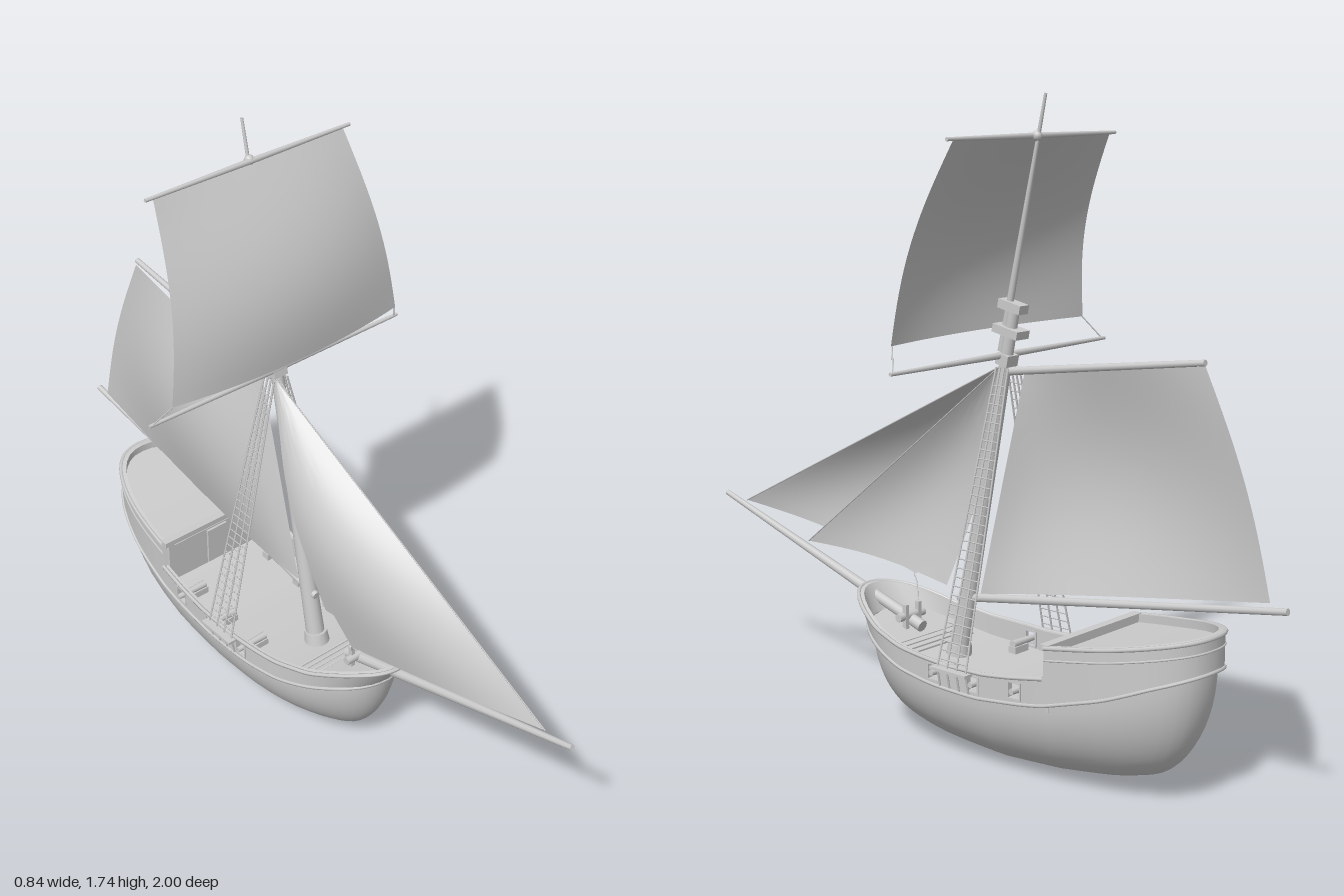
import * as THREE from 'three';
import { toCreasedNormals } from 'three/addons/utils/BufferGeometryUtils.js';

const mat = new THREE.MeshStandardMaterial({ color: 0xcccccc, side: THREE.DoubleSide });
const V = (x, y, z) => new THREE.Vector3(x, y, z);
const { sin, cos, PI, max, abs, sqrt } = Math;

// Linear lookup in a table of [z, value] with z falling from bow to stern
function table(rows) {
  return z => {
    for (let i = 1; i < rows.length; i++) {
      const [a, p] = rows[i - 1], [b, q] = rows[i];
      if (z >= b) return p + (q - p) * Math.min(1, max(0, (a - z) / (a - b)));
    }
    return rows[rows.length - 1][1];
  };
}
const STEP = -0.42, MID = -0.1, BOW = 0.39, STERN = -0.8;
const railY = table([[0.39, 0.365], [0.32, 0.347], [0.2, 0.305], [0.08, 0.284], [-0.1, 0.276], [-0.25, 0.281],
  [STEP, 0.31], [STEP - 0.002, 0.392], [-0.6, 0.418], [-0.8, 0.455]]);
const waleY = table([[0.39, 0.285], [0.3, 0.268], [0.2, 0.242], [0.1, 0.22], [-0.05, 0.207], [-0.2, 0.205],
  [-0.4, 0.228], [-0.6, 0.285], [-0.7, 0.325], [-0.8, 0.36]]);
const keelY = table([[0.39, 0.045], [0.1, 0.022], [-0.05, 0.008], [-0.2, 0.0], [-0.35, 0.01], [-0.5, 0.03], [-0.62, 0.06]]);
const deckY = z => z < STEP - 0.001 ? railY(z) - 0.022 : waleY(z) + 0.012;
// Half width of the hull in plan
function halfWidth(z) {
  if (z > MID) return 0.203 * sqrt(max(0, 1 - ((z - MID) / (BOW - MID)) ** 2));
  return 0.203 * max(0, 1 - ((MID - z) / (MID - STERN)) ** 3) ** 0.42;
}

// Surface from fn(i, j), with optional holes
function grid(nu, nv, fn, skip = () => false) {
  const pos = [], idx = [];
  for (let i = 0; i <= nu; i++) for (let j = 0; j <= nv; j++) pos.push(...fn(i, j).toArray());
  for (let i = 0; i < nu; i++) for (let j = 0; j < nv; j++) {
    if (skip(i, j)) continue;
    const a = i * (nv + 1) + j, b = a + nv + 1;
    idx.push(a, b, a + 1, b, b + 1, a + 1);
  }
  const g = new THREE.BufferGeometry();
  g.setAttribute('position', new THREE.Float32BufferAttribute(pos, 3));
  g.setIndex(idx);
  return toCreasedNormals(g, 0.6);
}

export function createModel() {
  const ship = new THREE.Group();
  ship.name = 'sailingShip';
  const add = (name, geo, parent = ship) => {
    const m = new THREE.Mesh(geo, mat);
    m.name = name;
    parent.add(m);
    return m;
  };
  const group = name => { const g = new THREE.Group(); g.name = name; ship.add(g); return g; };
  const box = (name, w, h, d, x, y, z, parent) => {
    const m = add(name, new THREE.BoxGeometry(w, h, d), parent);
    m.position.set(x, y, z);
    return m;
  };
  // Tapered round bar between two points
  const spar = (name, a, b, r0, r1 = r0, parent = ship, sides = 10) => {
    const d = b.clone().sub(a);
    const m = add(name, new THREE.CylinderGeometry(r1, r0, d.length(), sides), parent);
    m.position.copy(a).addScaledVector(d, 0.5);
    m.quaternion.setFromUnitVectors(V(0, 1, 0), d.normalize());
    return m;
  };
  const rope = (name, a, b, parent, r = 0.002) => spar(name, a, b, r, r, parent, 5);

  // Plan stations, bow to stern on the left and back on the right
  const ports = [-0.052, -0.19, -0.33], PW = 0.02;
  const zs = [STEP, STEP - 0.002];
  for (let i = 0; i <= 12; i++) {
    zs.push(MID + (BOW - MID) * cos(i / 12 * PI / 2));
    zs.push(MID + (STERN - MID) * (1 - (1 - i / 12) ** 2.2));
  }
  for (const p of ports) zs.push(p - PW, p + PW);
  const inPort = z => ports.some(p => abs(z - p) < PW - 1e-4);
  const half = [...new Set(zs)].filter(z => !inPort(z)).sort((a, b) => b - a);
  const ring = [...half.map(z => [z, 1]), ...half.slice(0, -1).reverse().map(z => [z, -1])];
  const n = ring.length - 1;
  const rake = z => 0.05 * max(0, z / BOW) ** 2; // bow leans back towards the keel

  // Lower hull
  const NV = 14;
  add('lowerHull', grid(n, NV, (i, j) => {
    const [z, s] = ring[i], a = j / NV * PI / 2, y = waleY(z);
    const top = (z - rake(z) + 0.2) * 0.97 - 0.2, zk = -0.2 + (top + 0.2) * 0.68;
    return V(s * halfWidth(z) * 0.95 * cos(a), y - (y - keelY(zk)) * sin(a), zk + (top - zk) * cos(a));
  }));

  // Bulwark: outer face, rail and inner face, with open gun ports
  add('bulwark', grid(n, 8, (i, j) => {
    const [z, s] = ring[i], w = waleY(z), r = railY(z), d = deckY(z);
    const ys = [w, w, w + 0.018, w + 0.059, r, r, max(d, w + 0.059), max(d, w + 0.018), d];
    const inner = j === 0 || j > 4, k = inner ? 0.94 : 1;
    const t = (r - ys[j]) / (r - w);
    return V(s * halfWidth(z) * k, ys[j], -0.2 + (z - rake(z) * t + 0.2) * (inner ? 0.97 : 1));
  }, (i, j) => (j === 2 || j === 6) && inPort((ring[i][0] + ring[i + 1][0]) / 2)));

  // Decks
  const deck = (name, list) => add(name, grid(list.length - 1, 4, (i, j) => {
    const z = list[i];
    return V(halfWidth(z) * 0.94 * (j / 2 - 1), deckY(z), -0.2 + (z - rake(z) + 0.2) * 0.97);
  }));
  deck('mainDeck', half.filter(z => z >= STEP));
  deck('quarterDeck', half.filter(z => z < STEP));

  // Rubbing strakes that run round the hull
  const strake = (name, list, yOf, r) => {
    const pts = list.map(([z, s]) => V(s * halfWidth(z) * 1.005, yOf(z), z - rake(z) * (railY(z) - yOf(z)) / (railY(z) - waleY(z))));
    add(name, new THREE.TubeGeometry(new THREE.CatmullRomCurve3(pts), 140, r, 6));
  };
  strake('wale', ring, z => waleY(z) + 0.004, 0.005);
  strake('sternStrake', ring.filter(([z]) => z < STEP - 0.001), z => railY(z) - 0.035, 0.003);
  strake('sternRail', ring.filter(([z]) => z < STEP - 0.001), z => railY(z) - 0.003, 0.006);
  for (const s of [1, -1])
    strake('waistRail', half.filter(z => z >= STEP).map(z => [z, s]), z => railY(z) - 0.002, 0.006);

  // Cabin front
  const cabin = group('cabinFront');
  box('bulkhead', 0.37, 0.17, 0.01, 0, 0.305, STEP - 0.006, cabin);
  box('deckBeam', 0.385, 0.016, 0.025, 0, 0.388, STEP, cabin);
  box('door', 0.07, 0.12, 0.008, 0, 0.3, STEP + 0.002, cabin);
  for (const s of [1, -1]) box('cabinPost', 0.02, 0.15, 0.02, s * 0.17, 0.31, STEP, cabin);

  // Guns and port frames
  const guns = group('guns');
  for (const s of [1, -1]) for (const p of ports) {
    const y = waleY(p) + 0.038, x = halfWidth(p) - 0.006;
    for (const e of [1, -1]) {
      box('portSide', 0.016, 0.048, 0.004, s * x, y, p + e * PW, guns);
      box('portSill', 0.016, 0.004, 0.044, s * x, y + e * 0.022, p, guns);
    }
    spar('gunBarrel', V(s * 0.115, y, p), V(s * 0.212, y, p), 0.011, 0.008, guns);
    box('gunCarriage', 0.055, 0.02, 0.026, s * 0.14, y - 0.016, p, guns);
  }

  // Deck fittings
  const fittings = group('deckFittings');
  for (let i = 0; i < 4; i++) box('gratingBar', 0.26 - i * 0.012, 0.008, 0.006, 0, 0.238 + i * 0.004, 0.11 + i * 0.02, fittings);
  for (const s of [1, -1]) box('bittPost', 0.012, 0.1, 0.014, s * 0.025, 0.285, 0.22, fittings);
  spar('windlass', V(-0.05, 0.3, 0.225), V(0.05, 0.3, 0.225), 0.012, 0.012, fittings);
  spar('mastCollar', V(0, 0.21, 0.045), V(0, 0.26, 0.037), 0.038, 0.032, fittings, 14);

  // Mast, raked aft
  const mastAt = y => V(0, y, 0.03 - (y - 0.28) * 0.2);
  const mast = group('mast');
  spar('lowerMast', mastAt(0.2), mastAt(1.21), 0.027, 0.015, mast, 14);
  spar('topMast', mastAt(1.08).add(V(0, 0, 0.02)), V(0, 1.74, -0.252), 0.011, 0.004, mast);
  const cap = (w, h, d, y, z) => { box('mastCap', w, h, d, 0, y, z, mast).rotation.x = -0.2; };
  cap(0.05, 0.022, 0.085, 1.135, -0.14);
  cap(0.036, 0.024, 0.075, 1.2, -0.148);
  cap(0.044, 0.03, 0.04, 1.06, -0.128);
  const truck = add('yardBand', new THREE.SphereGeometry(0.014, 10, 8), mast);
  truck.position.set(0, 1.635, -0.225);

  // Yards, gaff, boom and bowsprit
  for (const s of [1, -1]) {
    spar('upperYard', V(0, 1.635, -0.218), V(s * 0.325, 1.635, -0.218), 0.008, 0.005);
    spar('lowerYard', V(0, 1.07, -0.118), V(s * 0.42, 1.07, -0.118), 0.009, 0.005);
    rope('topsailSheet', V(s * 0.372, 1.13, -0.078), V(s * 0.41, 1.07, -0.118));
  }
  const gaff = [V(0, 1.03, -0.14), V(0, 1.117, -0.75)], boom = [V(0, 0.388, 0.04), V(0, 0.556, -1)];
  spar('gaff', ...gaff, 0.011, 0.008);
  spar('boom', ...boom, 0.012, 0.009);
  spar('bowsprit', V(0, 0.275, 0.18), V(0, 0.53, 1), 0.017, 0.008);

  // Sails: fn(u, v), u across and v from foot to head
  const N = 20;
  const sail = (name, fn) => add(name, grid(N, N, (i, j) => fn(i / N, j / N)));
  sail('topsail', (u, v) => {
    const s = 2 * u - 1, t = 1 - v;
    return V(s * (0.302 + 0.073 * t), 1.63 - 0.5 * t, -0.217 + 0.14 * t + 0.036 * sin(PI * t) + 0.045 * (1 - s * s) * sin(PI * t * 0.72));
  });
  sail('mainsail', (u, v) => {
    const p = V(0, 0.408, -0.03).lerp(V(0, 0.565, -0.945), u);
    p.lerp(V(0, 1.025, -0.18).lerp(V(0, 1.107, -0.745), u), v);
    p.x = -0.008 - 0.07 * sin(PI * u ** 0.75) * (0.25 + 0.75 * sin(PI * v));
    p.z -= 0.022 * u * sin(PI * v);
    return p;
  });
  const jib = (name, tack, clew, head, belly) => {
    sail(name, (u, v) => {
      const p = tack.clone().lerp(clew, u).lerp(head, v);
      p.x -= belly * (sin(PI * v) * sin(PI * u * 0.62) + 0.25 * sin(PI * u) * (1 - v));
      p.y += 0.012 * sin(PI * u) * (1 - v);
      return p;
    });
    rope(name + 'Stay', tack, head);
  };
  jib('outerJib', V(0, 0.52, 0.91), V(-0.07, 0.395, 0.27), V(-0.015, 1.045, -0.11), 0.072);
  jib('innerJib', V(0, 0.44, 0.64), V(-0.03, 0.4, 0.115), V(-0.008, 1.04, -0.1), 0.045);
  // Sagging sheet of the outer jib
  add('jibSheet', new THREE.TubeGeometry(new THREE.CatmullRomCurve3(
    [V(-0.07, 0.395, 0.28), V(-0.05, 0.38, 0.25), V(-0.03, 0.33, 0.225)]), 12, 0.002, 5));

  // Shrouds with ratlines and channels
  const rigging = group('rigging');
  for (const s of [1, -1]) {
    const low = k => V(s * 0.215, 0.268, -0.078 - 0.1 * k), high = k => V(s * 0.022, 1.04, -0.11 - 0.04 * k);
    for (let k = 0; k < 4; k++) {
      rope('shroud', low(k / 3), high(k / 3), rigging, 0.0028);
      rope('chainPlate', low(k / 3), V(s * 0.203, 0.21, low(k / 3).z), rigging, 0.003);
    }
    for (let i = 1; i < 32; i++)
      rope('ratline', low(0).lerp(high(0), i / 33), low(1).lerp(high(1), i / 33), rigging, 0.0018);
    box('channel', 0.036, 0.008, 0.125, s * 0.215, 0.268, -0.128, rigging);
  }
  return ship;
}
